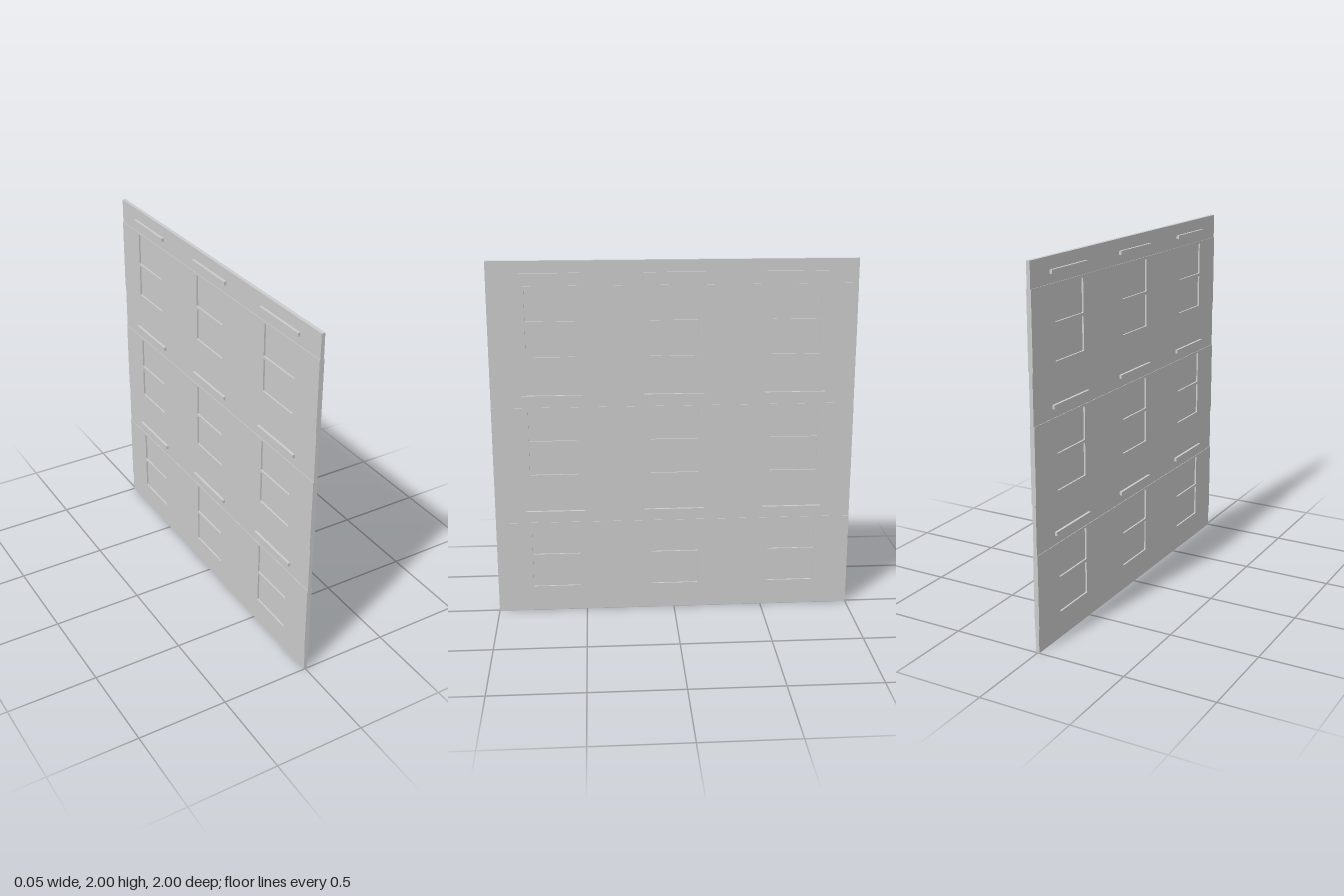
import * as THREE from 'three';

const PITCH = 2 / 3;          // spacing of storeys and window columns
const WALL = 0.02, BAND = 0.026, GLASS = 0.007, LINTEL = 0.048;
const BAND_LOW = 0.133, BAND_HIGH = 0.533;
const PANE_W = 0.268, PANE_H = 0.18, PANE_LOW = [0.147, 0.342];

const material = new THREE.MeshStandardMaterial({ color: 0xcccccc });

function addMesh(parent, name, geometry, y = 0, z = 0) {
  const mesh = new THREE.Mesh(geometry, material);
  mesh.name = name;
  mesh.position.set(0, y, z);
  parent.add(mesh);
  return mesh;
}

// Rectangle with slightly rounded corners, centred on cx
function roundedRect(path, cx, y, w, h, r) {
  const a = cx - w / 2, b = cx + w / 2, t = y + h;
  path.moveTo(a + r, y).lineTo(b - r, y).quadraticCurveTo(b, y, b, y + r);
  path.lineTo(b, t - r).quadraticCurveTo(b, t, b - r, t);
  path.lineTo(a + r, t).quadraticCurveTo(a, t, a, t - r);
  path.lineTo(a, y + r).quadraticCurveTo(a, y, a + r, y);
  return path;
}

// Wall strip as thick as the openings are deep, pierced by the sash openings
function windowBandGeometry() {
  const shape = new THREE.Shape();
  shape.moveTo(-1, BAND_LOW).lineTo(1, BAND_LOW).lineTo(1, BAND_HIGH).lineTo(-1, BAND_HIGH).closePath();
  for (const column of [-1, 0, 1]) {
    for (const low of PANE_LOW) {
      shape.holes.push(roundedRect(new THREE.Path(), column * PITCH, low, PANE_W, PANE_H, 0.006));
    }
  }
  const geometry = new THREE.ExtrudeGeometry(shape, { depth: BAND, bevelEnabled: false, curveSegments: 3 });
  return geometry.translate(0, 0, -BAND / 2).rotateY(Math.PI / 2);
}

export function createModel() {
  const model = new THREE.Group();
  model.name = 'windowWall';
  const band = windowBandGeometry();
  const pane = new THREE.BoxGeometry(GLASS, PANE_H + 0.008, PANE_W + 0.008);
  const lintel = new THREE.BoxGeometry(LINTEL, 0.02, 0.333);

  for (let row = 0; row < 3; row++) {
    const storey = new THREE.Group();
    storey.name = `storey${row + 1}`;
    storey.position.y = row * PITCH;
    model.add(storey);

    // Plain wall below and above the window band
    for (const [name, low, high] of [['lowerWall', 0, BAND_LOW], ['upperWall', BAND_HIGH, PITCH]]) {
      addMesh(storey, name, new THREE.BoxGeometry(WALL, high - low, 2), (low + high) / 2);
    }
    addMesh(storey, 'windowBand', band);

    // Recessed sash panes and the lintel over each window
    for (const column of [-1, 0, 1]) {
      const z = column * PITCH;
      for (const low of PANE_LOW) addMesh(storey, 'windowPane', pane, low + PANE_H / 2, z);
      addMesh(storey, 'lintel', lintel, 0.592, z);
    }
  }
  return model;
}
